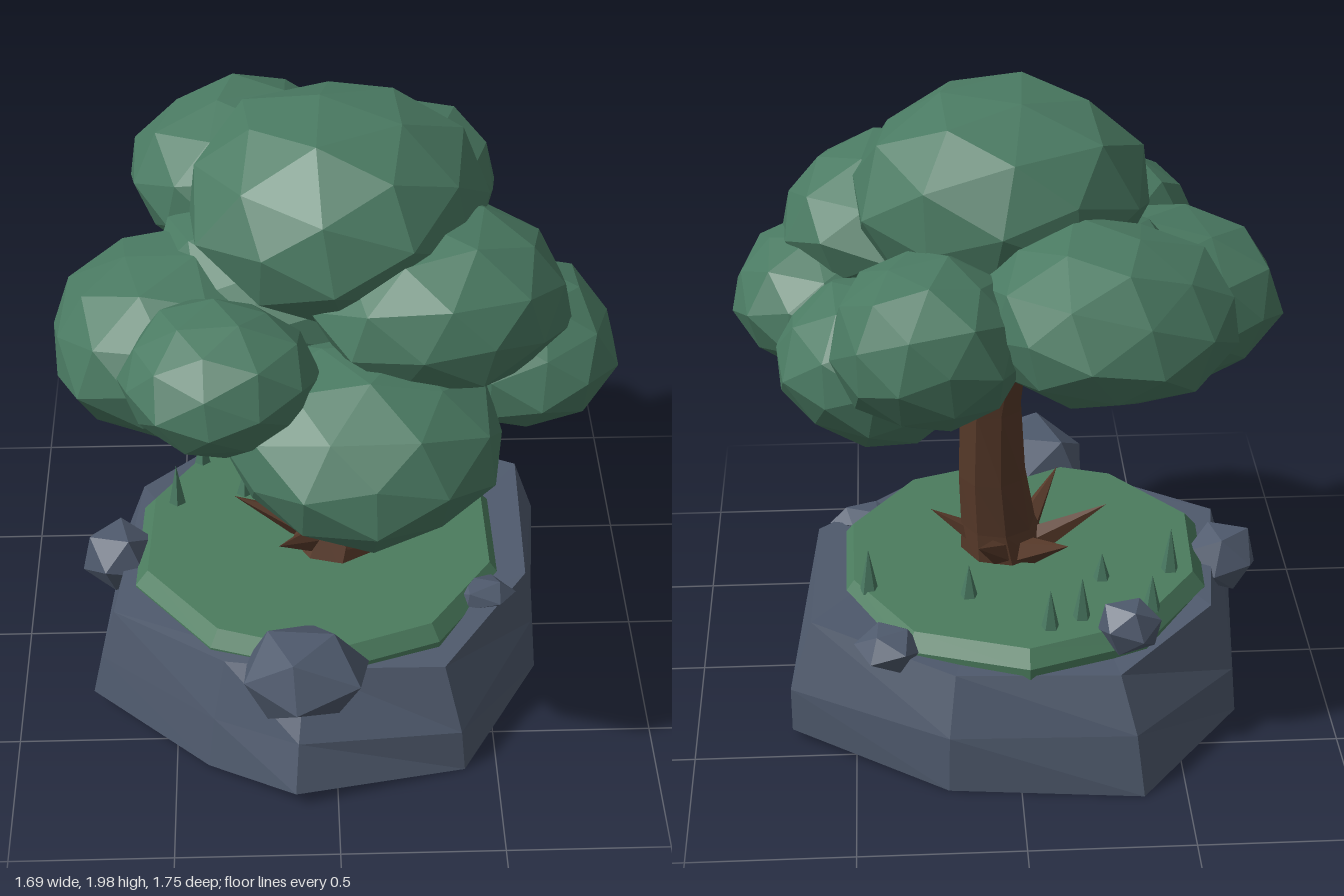
import * as THREE from 'three';

const mat = (name, color) => new THREE.MeshStandardMaterial({ name, color, flatShading: true });

// repeatable noise from a position, so shared corners stay together
function noise(x, y, z, seed) {
  const r = (v) => Math.round(v * 1000) / 1000 + 0;
  const s = Math.sin(r(x) * 12.99 + r(y) * 78.23 + r(z) * 37.72 + seed * 4.17) * 4375.85;
  return (s - Math.floor(s)) * 2 - 1;
}

// rough faceted ball
function blob(detail, rough, seed) {
  const g = new THREE.IcosahedronGeometry(1, detail);
  const p = g.attributes.position;
  for (let i = 0; i < p.count; i++) {
    const x = p.getX(i), y = p.getY(i), z = p.getZ(i);
    const k = 1 + rough * noise(x, y, z, seed);
    p.setXYZ(i, x * k, y * k, z * k);
  }
  g.rotateX(0.25);
  g.rotateY(seed * 0.9);
  g.computeVertexNormals();
  return g;
}

// closed solid through rings of points, listed bottom to top
function loft(rings) {
  const n = rings[0].length, pos = rings.flat(2), idx = [];
  for (let r = 0; r < rings.length - 1; r++) {
    for (let i = 0; i < n; i++) {
      const a = r * n + i, b = r * n + (i + 1) % n;
      idx.push(a, b, a + n, b, b + n, a + n);
    }
  }
  const capStart = (rings.length - 1) * n;
  for (let i = 1; i < n - 1; i++) {
    idx.push(0, i + 1, i);
    idx.push(capStart, capStart + i, capStart + i + 1);
  }
  const g = new THREE.BufferGeometry();
  g.setAttribute('position', new THREE.Float32BufferAttribute(pos, 3));
  g.setIndex(idx);
  const flat = g.toNonIndexed();
  flat.computeVertexNormals();
  return flat;
}

// tapered stick between two points
function stick(from, to, r0, r1, sides) {
  const a = new THREE.Vector3(...from), b = new THREE.Vector3(...to);
  const d = b.clone().sub(a);
  const g = new THREE.CylinderGeometry(r1, r0, d.length(), sides);
  g.applyQuaternion(new THREE.Quaternion().setFromUnitVectors(new THREE.Vector3(0, 1, 0), d.normalize()));
  g.translate((a.x + b.x) / 2, (a.y + b.y) / 2, (a.z + b.z) / 2);
  return g;
}

export function createModel() {
  const model = new THREE.Group();
  model.name = 'treeOnRock';
  const leaf = mat('leafGreen', 0x4a7a62);
  const grass = mat('grassGreen', 0x4b7c5e);
  const rock = mat('slateRock', 0x4f5a6d);
  const bark = mat('barkBrown', 0x583a2a);

  const add = (name, geometry, material, position, scale) => {
    const m = new THREE.Mesh(geometry, material);
    m.name = name;
    if (position) m.position.set(...position);
    if (scale) m.scale.set(...scale);
    model.add(m);
    return m;
  };

  // rock base, going round from the front: foot x, y, z, shoulder height and spread, rim height and spread
  const sides = [
    [-0.13, 0.05, 0.8, 0.2, 0.92, 0.38, 0.74], [0.4, 0, 0.66, 0.14, 0.97, 0.34, 0.84],
    [0.66, 0.01, 0.21, 0.2, 0.97, 0.4, 0.93], [0.7, 0.03, -0.4, 0.18, 1, 0.4, 0.9],
    [0.22, 0, -0.7, 0.18, 0.98, 0.36, 0.88], [-0.37, 0, -0.76, 0.19, 0.94, 0.35, 0.82],
    [-0.7, 0.01, -0.34, 0.16, 0.98, 0.38, 0.88], [-0.77, 0.06, 0.34, 0.2, 0.96, 0.37, 0.9],
    [-0.4, 0.01, 0.63, 0.18, 0.95, 0.37, 0.86],
  ];
  add('rockBase', loft([
    sides.map(([x, y, z]) => [x, y, z]),
    sides.map(([x, , z, y, k]) => [x * k, y, z * k]),
    sides.map(([x, , z, , , y, k]) => [x * k, y, z * k]),
  ]), rock);

  // grass cap, an uneven ten-sided slab
  const cap = (r, y) => Array.from({ length: 10 }, (_, i) => {
    const a = i / 10 * Math.PI * 2, k = r * (1 + 0.03 * noise(i, 0, 0, 3));
    return [Math.sin(a) * k - 0.03, y, Math.cos(a) * k];
  });
  add('grassCap', loft([cap(0.61, 0.32), cap(0.61, 0.38), cap(0.57, 0.43)]), grass);

  // loose stones: position, size
  [
    [[-0.1, 0.4, 0.63], [0.21, 0.15, 0.19]],
    [[-0.69, 0.36, 0.02], [0.12, 0.12, 0.12]],
    [[0.46, 0.39, 0.27], [0.11, 0.05, 0.08]],
    [[0.39, 0.38, -0.48], [0.11, 0.08, 0.1]],
    [[-0.34, 0.45, -0.5], [0.11, 0.09, 0.1]],
  ].forEach(([p, s], i) => add('stone', blob(0, 0.1, i + 1), rock, p, s));

  // grass blades: x, z, height
  [
    [0.45, -0.22, 0.15], [0.14, -0.28, 0.12], [-0.1, -0.47, 0.14], [-0.2, -0.42, 0.15],
    [-0.28, -0.2, 0.1], [-0.42, -0.37, 0.12], [-0.5, -0.16, 0.16],
  ].forEach(([x, z, h]) => add('grassBlade', new THREE.ConeGeometry(0.03, h, 5), leaf, [x, 0.42 + h / 2, z]));

  // leaning trunk: centre x, y, z and radius
  const trunk = [
    [0.01, 0.41, 0.03, 0.145], [0.035, 0.53, 0.01, 0.12], [0.055, 0.72, -0.015, 0.108],
    [0.06, 0.97, -0.035, 0.1], [0.03, 1.2, -0.06, 0.09], [0.02, 1.32, -0.07, 0.08],
  ];
  add('trunk', loft(trunk.map(([x, y, z, r]) => Array.from({ length: 8 }, (_, i) => {
    const a = i / 8 * Math.PI * 2 + y * 0.3;
    return [x + Math.sin(a) * r, y, z + Math.cos(a) * r];
  }))), bark);

  // pointed roots around the foot
  for (let i = 0; i < 6; i++) {
    const a = i / 6 * Math.PI * 2, c = Math.cos(a), s = Math.sin(a);
    add('root', stick([-0.01 + c * 0.07, 0.45, s * 0.07], [-0.03 + c * 0.28, 0.58, s * 0.29], 0.05, 0, 5), bark);
  }

  // branches under the leaves
  [
    [[0.04, 1.06, -0.04], [-0.17, 1.27, -0.22]],
    [[0.04, 1.08, -0.04], [-0.22, 1.22, 0.02]],
    [[0.05, 1.1, -0.04], [0.27, 1.3, 0.06]],
    [[0.04, 1.1, -0.05], [0.15, 1.3, -0.25]],
  ].forEach(([a, b]) => add('branch', stick(a, b, 0.05, 0.035, 6), bark));

  // leaf clumps: centre, radii
  [
    [[0.02, 1.68, -0.01], [0.45, 0.32, 0.46]],
    [[-0.25, 1.5, -0.5], [0.37, 0.25, 0.38]],
    [[0.25, 1.43, -0.51], [0.29, 0.25, 0.32]],
    [[0.09, 1.19, 0.48], [0.41, 0.27, 0.39]],
    [[-0.33, 1.39, 0.45], [0.29, 0.21, 0.27]],
    [[-0.49, 1.28, 0.08], [0.36, 0.26, 0.39]],
    [[0.56, 1.28, 0.14], [0.29, 0.23, 0.33]],
    [[0.4, 1.21, -0.16], [0.32, 0.25, 0.33]],
    [[0.31, 1.51, 0.21], [0.39, 0.25, 0.38]],
    [[-0.08, 1.4, -0.08], [0.46, 0.24, 0.4]],
  ].forEach(([p, s], i) => add('leafClump', blob(1, 0.05, i + 11), leaf, p, s));

  return model;
}
